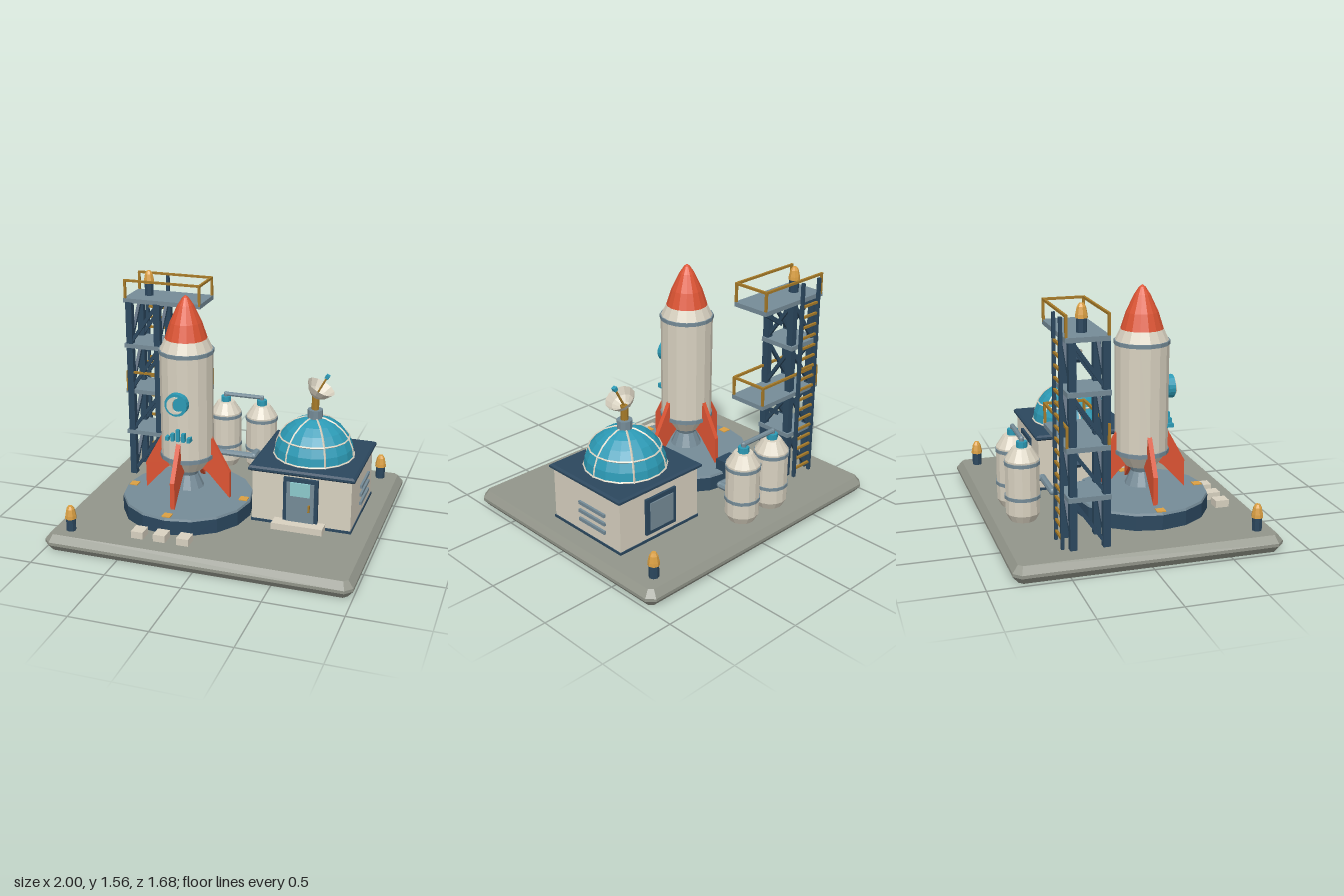
import * as THREE from 'three';

const mat = (color, side = THREE.FrontSide) =>
  new THREE.MeshStandardMaterial({ color, side, flatShading: true });
const M = {
  stone: mat(0x92958a), cream: mat(0xd8d1c0), navy: mat(0x2b475e), slate: mat(0x758b97),
  teal: mat(0x2c9ab5), glass: mat(0x8cc9cc), orange: mat(0xdd5433), amber: mat(0xdba043),
  brass: mat(0xa67a28), dish: mat(0xd8d1c0, THREE.DoubleSide),
};
const V = (x, y, z) => new THREE.Vector3(x, y, z);

export function createModel() {
  const root = new THREE.Group();
  const group = (name, x = 0, y = 0, z = 0, parent = root) => {
    const g = new THREE.Group();
    g.name = name;
    g.position.set(x, y, z);
    parent.add(g);
    return g;
  };
  const add = (p, name, geo, m, x = 0, y = 0, z = 0) => {
    const mesh = new THREE.Mesh(geo, m);
    mesh.name = name;
    mesh.position.set(x, y, z);
    p.add(mesh);
    return mesh;
  };
  const box = (p, name, m, w, h, d, x, y, z) => add(p, name, new THREE.BoxGeometry(w, h, d), m, x, y, z);
  // cylinder given by its bottom and top heights
  const cyl = (p, name, m, r0, r1, y0, y1, n = 16, x = 0, z = 0) =>
    add(p, name, new THREE.CylinderGeometry(r1, r0, y1 - y0, n), m, x, (y0 + y1) / 2, z);
  const lathe = (p, name, m, pts, n = 16) =>
    add(p, name, new THREE.LatheGeometry(pts.map(([r, y]) => new THREE.Vector2(r, y)), n), m);
  // bar between two points, square or round
  const bar = (p, name, m, a, b, t, round = false) => {
    const l = a.distanceTo(b);
    const geo = round ? new THREE.CylinderGeometry(t, t, l, 8) : new THREE.BoxGeometry(t, l, t);
    const mesh = add(p, name, geo, m);
    mesh.position.copy(a).add(b).multiplyScalar(0.5);
    mesh.quaternion.setFromUnitVectors(V(0, 1, 0), b.clone().sub(a).normalize());
    return mesh;
  };

  // Ground slab with chamfered edges and corners
  const sx = 0.965, sz = 0.805, c = 0.025;
  const slab = new THREE.Shape([[-sx + c, -sz], [sx - c, -sz], [sx, -sz + c], [sx, sz - c],
    [sx - c, sz], [-sx + c, sz], [-sx, sz - c], [-sx, -sz + c]].map(([x, y]) => new THREE.Vector2(x, y)));
  add(root, 'groundSlab', new THREE.ExtrudeGeometry(slab, { depth: 0.02, bevelEnabled: true,
    bevelThickness: 0.045, bevelSize: 0.035, bevelSegments: 1 }).rotateX(-Math.PI / 2), M.stone, 0, 0.045, 0);

  // Launch pad
  const RX = -0.265, RZ = 0.155;
  const pad = group('launchPad', RX, 0, RZ);
  cyl(pad, 'padBase', M.navy, 0.43, 0.43, 0.105, 0.205);
  cyl(pad, 'padTop', M.slate, 0.43, 0.425, 0.205, 0.22);
  for (const [x, z] of [[-0.385, 0], [0.385, 0], [0, 0.385]])
    box(pad, 'padMarker', M.amber, 0.056, 0.008, 0.056, x, 0.222, z);
  for (const x of [-0.41, -0.262, -0.107]) box(root, 'block', M.cream, 0.08, 0.05, 0.09, x, 0.132, 0.65);

  // Rocket
  const rocket = group('rocket', RX, 0, RZ);
  lathe(rocket, 'body', M.cream, [[0, 0.4], [0.105, 0.4], [0.17, 0.49], [0.172, 1.21], [0.136, 1.285], [0, 1.285]]);
  lathe(rocket, 'noseCone', M.orange, [[0, 1.28], [0.136, 1.283], [0.102, 1.39], [0.05, 1.5], [0.02, 1.545], [0, 1.56]]);
  cyl(rocket, 'lowerBand', M.slate, 0.178, 0.178, 0.483, 0.51);
  cyl(rocket, 'upperBand', M.slate, 0.178, 0.178, 1.19, 1.215);
  lathe(rocket, 'nozzle', M.slate, [[0, 0.41], [0.085, 0.41], [0.065, 0.36], [0.105, 0.27], [0.08, 0.27], [0, 0.36]].reverse(), 12);
  const finShape = new THREE.Shape([[0.09, 0.42], [0.15, 0.375], [0.292, 0.22], [0.292, 0.4], [0.16, 0.64], [0.1, 0.64]]
    .map(([x, y]) => new THREE.Vector2(x, y)));
  const finGeo = new THREE.ExtrudeGeometry(finShape, { depth: 0.03, bevelEnabled: false }).translate(0, 0, -0.015);
  for (let i = 0; i < 4; i++) add(rocket, 'fin', finGeo, M.orange).rotation.y = i * Math.PI / 2;
  // round badge with a crescent, and a row of bars below
  const badge = cyl(rocket, 'badgeDisc', M.teal, 0.075, 0.075, 0, 0.045, 20);
  badge.rotation.x = Math.PI / 2;
  badge.position.set(0, 0.9, 0.182);
  const moon = new THREE.Shape();
  const a0 = Math.PI * 0.4, a1 = Math.PI * 1.8;
  moon.absarc(0, 0, 0.056, a0, a1, false);
  moon.quadraticCurveTo(-0.02, -0.055, -0.018, 0.0);
  moon.quadraticCurveTo(-0.016, 0.04, 0.056 * Math.cos(a0), 0.056 * Math.sin(a0));
  add(rocket, 'crescent', new THREE.ExtrudeGeometry(moon, { depth: 0.014, bevelEnabled: false, curveSegments: 10 }),
    M.cream, 0, 0.9, 0.204);
  [[-0.07, 0.025], [-0.034, 0.05], [0.003, 0.08], [0.039, 0.057], [0.075, 0.03]].forEach(([x, h]) =>
    box(rocket, 'trimBar', M.teal, 0.022, h, 0.05, x, 0.648 + h / 2, 0.166));

  // Service tower
  const tower = group('serviceTower');
  const X0 = -0.823, X1 = -0.622, Z0 = -0.448, Z1 = -0.245;
  for (const x of [X0, X1]) for (const z of [Z0, Z1])
    box(tower, 'towerPost', M.navy, 0.044, 1.26, 0.044, x, 0.735, z);
  const levels = [0.11, 0.428, 0.73, 1.058, 1.375];
  for (const y of [0.428, 1.058]) box(tower, 'deck', M.slate, 0.27, 0.03, 0.26, -0.725, y, -0.352);
  for (let i = 0; i < 4; i++) {
    const lo = levels[i] + 0.015, hi = levels[i + 1] - 0.015;
    const [xa, xb] = i % 2 ? [X0, X1] : [X1, X0];
    for (const z of [Z0, Z1])
      bar(tower, 'brace', M.navy, V(i === 1 || i === 3 ? xa : xb, lo, z), V(i === 1 || i === 3 ? xb : xa, hi, z), 0.022);
    for (const x of [X0, X1]) bar(tower, 'brace', M.navy, V(x, lo, Z1), V(x, hi, Z0), 0.022);
  }
  // long access decks with railings and a strut beneath
  for (const y of [0.73, 1.375]) {
    box(tower, 'accessDeck', M.slate, 0.55, 0.03, 0.265, -0.585, y, -0.36);
    bar(tower, 'strut', M.navy, V(-0.62, y - 0.18, -0.355), V(-0.37, y - 0.012, -0.355), 0.028);
    const t = y + 0.137, l = -0.848, r = -0.318, f = -0.235, b = -0.485;
    for (const x of [l, r]) for (const z of [f, b]) bar(tower, 'railPost', M.brass, V(x, y, z), V(x, t, z), 0.015);
    bar(tower, 'rail', M.brass, V(l - 0.007, t, f), V(r + 0.007, t, f), 0.015);
    bar(tower, 'rail', M.brass, V(l - 0.007, t, b), V(r + 0.007, t, b), 0.015);
    bar(tower, 'rail', M.brass, V(r, t, f), V(r, t, b), 0.015);
  }
  // ladder on the back
  for (const x of [-0.8, -0.645]) box(tower, 'ladderRail', M.navy, 0.02, 1.39, 0.02, x, 0.805, -0.506);
  for (let i = 0; i < 17; i++) box(tower, 'rung', M.brass, 0.15, 0.015, 0.015, -0.7225, 0.17 + i * 0.073, -0.506);

  // Beacons
  for (const [x, y, z] of [[-0.855, 0.105, 0.71], [0.852, 0.105, -0.71], [-0.725, 1.385, -0.362]]) {
    const g = group('beacon', x, y, z);
    cyl(g, 'beaconBase', M.navy, 0.032, 0.032, 0, 0.09, 8);
    lathe(g, 'beaconLamp', M.amber, [[0, 0.088], [0.038, 0.088], [0.036, 0.11], [0.027, 0.152], [0.015, 0.172], [0, 0.172]], 8);
  }

  // Control building
  const house = group('controlBuilding', 0.52, 0, -0.1);
  box(house, 'walls', M.cream, 0.65, 0.37, 0.62, 0, 0.29, 0);
  box(house, 'skirting', M.navy, 0.662, 0.02, 0.632, 0, 0.117, 0);
  const rw = 0.333, rd = 0.316;
  const roof = new THREE.Shape([V(-rw, -rd, 0), V(rw, -rd, 0), V(rw, rd, 0), V(-rw, rd, 0)]);
  add(house, 'roof', new THREE.ExtrudeGeometry(roof, { depth: 0.014, bevelThickness: 0.011, bevelSize: 0.014,
    bevelSegments: 1 }).rotateX(-Math.PI / 2), M.navy, 0, 0.472, 0);
  box(house, 'doorFrame', M.navy, 0.226, 0.34, 0.03, 0, 0.28, 0.318);
  box(house, 'door', M.slate, 0.18, 0.315, 0.03, 0, 0.268, 0.325);
  box(house, 'doorWindow', M.glass, 0.13, 0.092, 0.03, 0, 0.38, 0.33);
  box(house, 'doorHandle', M.brass, 0.012, 0.045, 0.03, 0.06, 0.26, 0.34);
  box(house, 'doorStep', M.cream, 0.335, 0.046, 0.09, -0.005, 0.131, 0.355);
  box(house, 'backWindowFrame', M.navy, 0.25, 0.25, 0.03, 0, 0.29, -0.312);
  box(house, 'backWindow', M.slate, 0.19, 0.19, 0.03, 0, 0.29, -0.32);
  for (const y of [0.21, 0.27, 0.328]) box(house, 'vent', M.slate, 0.025, 0.022, 0.24, 0.327, y, -0.058);

  // Ribbed dome
  const R = 0.262, DY = 0.493;
  const dome = group('dome', 0, DY, 0, house);
  add(dome, 'domeShell', new THREE.SphereGeometry(R, 18, 6, 0, Math.PI * 2, 0, Math.PI / 2), M.teal);
  for (let i = 0; i < 3; i++)
    add(dome, 'domeRib', new THREE.TorusGeometry(R, 0.007, 4, 12, Math.PI), M.cream).rotation.y = i * Math.PI / 3;
  for (const y of [0.008, 0.131])
    add(dome, 'domeRing', new THREE.TorusGeometry(Math.sqrt(R * R - y * y), 0.007, 4, 18), M.cream, 0, y, 0).rotation.x = Math.PI / 2;

  // Dish antenna
  const antenna = group('antenna', 0, 0, 0, house);
  cyl(antenna, 'antennaBase', M.slate, 0.05, 0.05, 0.74, 0.805, 10);
  cyl(antenna, 'antennaPost', M.brass, 0.025, 0.025, 0.8, 0.9, 8);
  const dish = group('dish', -0.005, 0.885, 0, antenna);
  dish.rotation.z = -0.49;
  lathe(dish, 'bowl', M.dish, [[0, 0], [0.035, 0.01], [0.07, 0.04], [0.098, 0.085]], 12);
  cyl(dish, 'feedRod', M.brass, 0.007, 0.007, 0, 0.16, 6);
  box(dish, 'feedTip', M.teal, 0.026, 0.026, 0.026, 0, 0.167, 0);

  // Fuel tanks
  for (const x of [RX, 0.002]) {
    const tank = group('fuelTank', x, 0, -0.622);
    lathe(tank, 'tankBody', M.cream, [[0, 0.105], [0.08, 0.105], [0.11, 0.16], [0.11, 0.51], [0.06, 0.585], [0, 0.585]], 14);
    for (const y of [0.268, 0.488]) cyl(tank, 'tankBand', M.slate, 0.115, 0.115, y - 0.011, y + 0.011, 14);
    cyl(tank, 'tankCap', M.teal, 0.036, 0.036, 0.58, 0.622, 8);
    cyl(tank, 'capPipe', M.slate, 0.016, 0.016, 0.61, 0.64, 8);
    add(tank, 'pipeElbow', new THREE.SphereGeometry(0.017, 8, 6), M.slate, 0, 0.638, 0);
  }
  bar(root, 'topPipe', M.slate, V(RX, 0.638, -0.622), V(0.002, 0.638, -0.622), 0.016, true);

  // Fuel line from the tanks to the pad
  const line = [V(0.002, 0.27, -0.55), V(0.002, 0.27, -0.43), V(RX, 0.27, -0.43), V(RX, 0.27, -0.25)];
  for (let i = 0; i < 3; i++) {
    bar(root, 'fuelLine', M.slate, line[i], line[i + 1], 0.023, true);
    if (i) add(root, 'lineElbow', new THREE.SphereGeometry(0.024, 8, 6), M.slate).position.copy(line[i]);
  }
  box(root, 'fuelCoupling', M.navy, 0.13, 0.09, 0.11, RX, 0.25, -0.25);
  return root;
}
